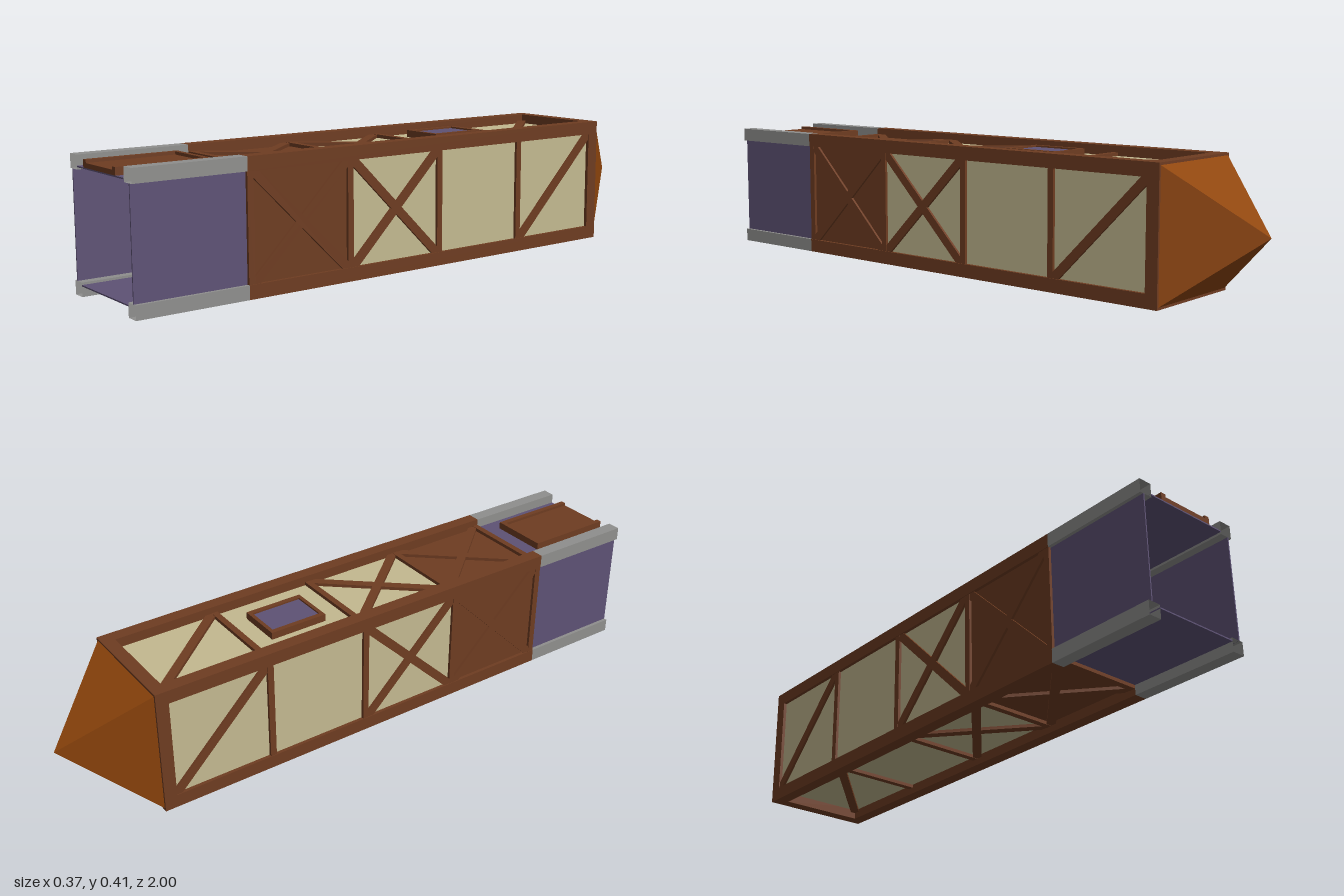
import * as THREE from 'three';

const W = 0.183, H = 0.2025;      // half width and half height
const BEAM = 0.042;               // corner beam thickness
const BACK = -0.76, MID = 0.65, FRONT = 1;

export function createModel() {
  const model = new THREE.Group();
  const mat = (name, color, side = THREE.FrontSide) => {
    const m = new THREE.MeshStandardMaterial({ color, side });
    m.name = name;
    return m;
  };
  const wood = mat('dark wood', 0x6e3c21);
  const plaster = mat('cream plaster', 0xc3b990);
  const violet = mat('violet panel', 0x5e5275);
  const stone = mat('grey rail', 0x8f8f8d, THREE.DoubleSide);
  const roofMat = mat('orange roof', 0x90460c, THREE.DoubleSide);

  // Box given by its minimum and maximum on each axis
  const box = (parent, name, material, x0, x1, y0, y1, z0, z1) => {
    const mesh = new THREE.Mesh(new THREE.BoxGeometry(x1 - x0, y1 - y0, z1 - z0), material);
    mesh.position.set((x0 + x1) / 2, (y0 + y1) / 2, (z0 + z1) / 2);
    mesh.name = name;
    parent.add(mesh);
    return mesh;
  };

  // Everything is built around the long axis, then lifted to stand on y = 0
  const body = new THREE.Group();
  body.name = 'tower';
  body.position.y = H;
  model.add(body);

  // Corner beams, continued by open ended rails
  for (const sx of [-1, 1]) for (const sy of [-1, 1]) {
    const cx = sx * (W - BEAM / 2), cy = sy * (H - BEAM / 2), h = BEAM / 2;
    box(body, 'cornerBeam', wood, cx - h, cx + h, cy - h, cy + h, BACK, MID);
    const rail = box(body, 'rail', stone, cx - h, cx + h, cy - h, cy + h, MID, FRONT);
    rail.geometry.setIndex(Array.from(rail.geometry.index.array).slice(0, 24));
    rail.geometry.clearGroups();
  }

  // One wall: outer face at distance d, half span s between the beams,
  // panels sunk by inset and bars sunk by barInset
  const addWall = (name, angle, d, s, inset, barInset) => {
    const wall = new THREE.Group();
    wall.name = name;
    wall.rotation.z = angle;
    body.add(wall);
    const face = d - inset, top = d - barInset;
    const panel = (n, m, z0, z1) => box(wall, n, m, -s, s, face - 0.004, face, z0, z1);
    panel('plasterPanel', plaster, BACK + 0.03, 0.295);
    panel('woodPanel', wood, 0.295, MID);
    panel('violetPanel', violet, MID, FRONT);

    // Cross members between the bays
    for (const z of [-0.39, -0.05, 0.295, 0.64])
      box(wall, 'crossBar', wood, -s, s, face, top, z - 0.01, z + 0.01);
    box(wall, 'endBeam', wood, -s, s, d - BEAM, d, BACK, BACK + 0.04);

    // Diagonal braces
    const brace = (z0, z1, flip) => {
      const du = 2 * s * flip, dz = z1 - z0;
      const l = Math.hypot(du, dz) / 2;
      const b = box(wall, 'brace', wood, -0.014, 0.014, face, top - 0.001, -l, l);
      b.position.z = (z0 + z1) / 2;
      b.rotation.y = Math.atan2(du, dz);
    };
    brace(-0.72, -0.40, 1);
    for (const flip of [-1, 1]) {
      brace(-0.04, 0.285, flip);
      brace(0.305, 0.63, flip);
    }
    return wall;
  };
  const topWall = addWall('topWall', 0, H, W - BEAM, 0.031, 0.02);
  addWall('leftWall', -Math.PI / 2, W, H - BEAM, 0.011, 0.002);
  addWall('bottomWall', Math.PI, H, W - BEAM, 0.031, 0.02);
  addWall('rightWall', Math.PI / 2, W, H - BEAM, 0.011, 0.002);

  // Window with a raised frame on the top wall
  const y = H - 0.031;
  for (const x of [-0.07, 0.06])
    box(topWall, 'windowFrame', wood, x - 0.008, x + 0.008, y, y + 0.023, -0.32, -0.13);
  for (const z of [-0.314, -0.136])
    box(topWall, 'windowFrame', wood, -0.062, 0.052, y, y + 0.023, z - 0.006, z + 0.006);
  box(topWall, 'windowPane', violet, -0.062, 0.052, y, y + 0.018, -0.308, -0.142);

  // Door with raised jambs and lintel
  box(topWall, 'door', wood, -0.085, 0.08, y, y + 0.014, 0.72, FRONT);
  box(topWall, 'doorJamb', wood, -0.1, -0.083, y, y + 0.023, 0.71, FRONT);
  box(topWall, 'doorJamb', wood, 0.076, 0.093, y, y + 0.023, 0.71, FRONT);
  box(topWall, 'doorLintel', wood, -0.083, 0.076, y, y + 0.023, 0.71, 0.725);

  // Hollow four sided roof with its tip at the back, wound outward
  const rw = 0.176, rh = 0.195, roofPoints = [];
  const corners = [[-rw, -rh], [-rw, rh], [rw, rh], [rw, -rh]];
  corners.forEach((c, i) => {
    const next = corners[(i + 1) % 4];
    roofPoints.push(...c, BACK, 0, 0, -1, ...next, BACK);
  });
  const roofGeo = new THREE.BufferGeometry();
  roofGeo.setAttribute('position', new THREE.Float32BufferAttribute(roofPoints, 3));
  roofGeo.computeVertexNormals();
  const roof = new THREE.Mesh(roofGeo, roofMat);
  roof.name = 'roof';
  body.add(roof);

  return model;
}
